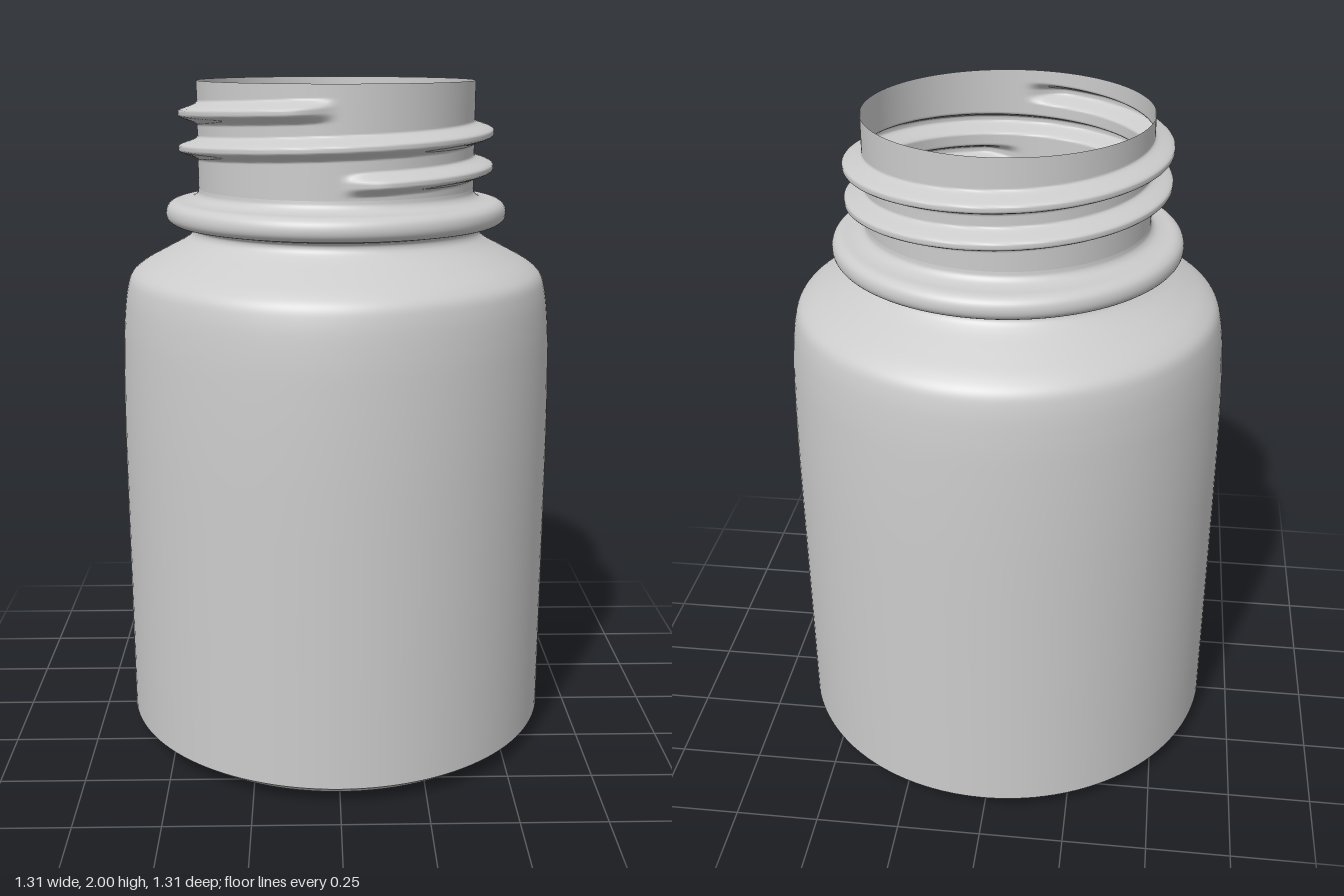
import * as THREE from 'three';

const SEGMENTS = 128;
const NECK_RADIUS = 0.41;
const NECK_BOTTOM = 1.69;
const material = new THREE.MeshStandardMaterial({ color: 0xcccccc, side: THREE.DoubleSide });

// Smooth profile through [radius, height] points
function smoothProfile(points, divisions) {
  const curve = new THREE.CatmullRomCurve3(
    points.map(([r, y]) => new THREE.Vector3(r, y, 0)), false, 'centripetal');
  return curve.getPoints(divisions).map(p => new THREE.Vector2(p.x, p.y));
}

function part(name, geometry) {
  const mesh = new THREE.Mesh(geometry, material);
  mesh.name = name;
  return mesh;
}

// Height of the screw thread above the neck wall; it makes two turns from front to front
function threadHeight(angle, y) {
  let height = 0;
  for (let turn = 0; turn < 2; turn++) {
    const travelled = turn * 2 * Math.PI + angle;
    const distance = Math.abs(y - (1.73 + 0.1 * travelled / (2 * Math.PI)));
    const ridge = 1 - THREE.MathUtils.smoothstep(distance, 0.006, 0.034);
    const fade = THREE.MathUtils.smoothstep(Math.min(travelled, 4 * Math.PI - travelled), 0, 0.3);
    height = Math.max(height, 0.056 * ridge * fade);
  }
  return height;
}

// Open cylinder whose wall is pushed out along the thread
function neckGeometry() {
  const rows = 76, columns = 160;
  const positions = [], indices = [];
  for (let i = 0; i <= rows; i++) {
    const y = NECK_BOTTOM + (2 - NECK_BOTTOM) * i / rows;
    for (let j = 0; j < columns; j++) {
      const angle = j / columns * 2 * Math.PI;
      const r = NECK_RADIUS + threadHeight(angle, y);
      positions.push(r * Math.sin(angle), y, r * Math.cos(angle));
      if (i === rows) continue;
      const next = (j + 1) % columns;
      const a = i * columns + j, b = i * columns + next;
      indices.push(a, b, b + columns, a, b + columns, a + columns);
    }
  }
  const geometry = new THREE.BufferGeometry();
  geometry.setAttribute('position', new THREE.Float32BufferAttribute(positions, 3));
  geometry.setIndex(indices);
  geometry.computeVertexNormals();
  return geometry;
}

export function createModel() {
  const bottle = new THREE.Group();
  bottle.name = 'bottle';

  // Flat base with a rounded bevel
  const base = [new THREE.Vector2(0, 0), new THREE.Vector2(0.5, 0),
    ...smoothProfile([[0.55, 0], [0.575, 0.003], [0.6, 0.014], [0.653, 0.053]], 12)];
  bottle.add(part('base', new THREE.LatheGeometry(base, SEGMENTS)));

  // Straight wall curving into the shoulder
  const wall = [new THREE.Vector2(0.653, 0.053),
    ...smoothProfile([[0.653, 0.8], [0.652, 1.0], [0.648, 1.18], [0.642, 1.3], [0.63, 1.395],
      [0.616, 1.437], [0.585, 1.465], [0.52, 1.501], [0.455, 1.536], [0.433, 1.555],
      [0.43, 1.57], [0.44, 1.58]], 60)];
  bottle.add(part('body', new THREE.LatheGeometry(wall, SEGMENTS)));

  // Rounded collar bead below the thread
  const bead = smoothProfile([[0.44, 1.58], [0.462, 1.585], [0.488, 1.589], [0.504, 1.602],
    [0.508, 1.62], [0.502, 1.64], [0.484, 1.653], [0.45, 1.657], [0.425, 1.664],
    [0.413, 1.676], [NECK_RADIUS, NECK_BOTTOM]], 40);
  bottle.add(part('collar', new THREE.LatheGeometry(bead, SEGMENTS)));

  bottle.add(part('threadedNeck', neckGeometry()));
  return bottle;
}
